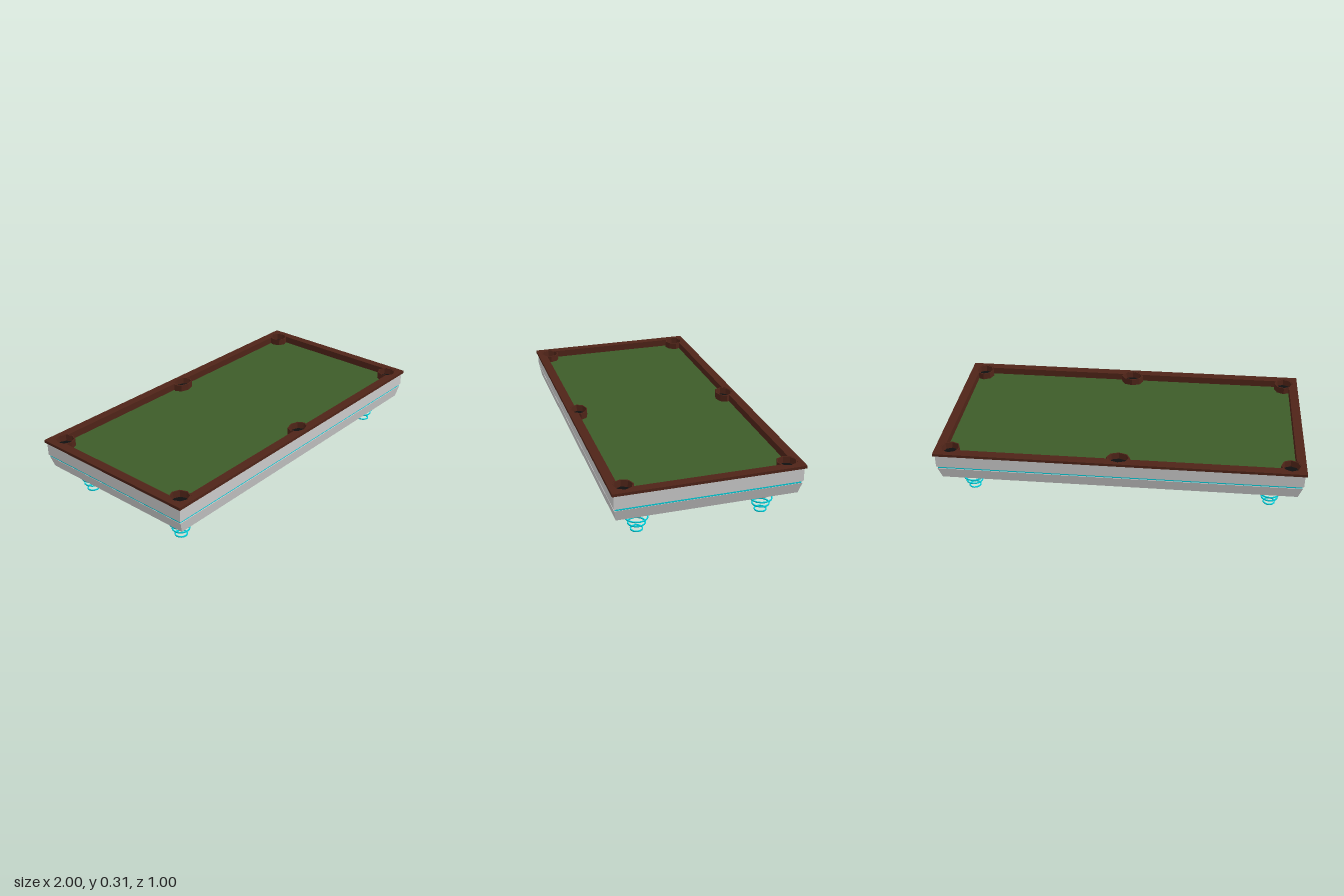
import * as THREE from 'three';

const mat = (color, extra = {}) => new THREE.MeshStandardMaterial({ color, flatShading: true, ...extra });

export function createModel() {
  const grey = mat(0xcccccc);
  const wood = mat(0x4f2418);
  const woodThin = mat(0x4f2418, { side: THREE.DoubleSide });
  const felt = mat(0x3d5c29);
  const black = mat(0x101010);
  const glow = mat(0x00d0dc);
  const table = new THREE.Group();
  table.name = 'hoverPoolTable';

  const add = (parent, name, geometry, material, x = 0, y = 0, z = 0) => {
    const mesh = new THREE.Mesh(geometry, material);
    mesh.name = name;
    mesh.position.set(x, y, z);
    parent.add(mesh);
    return mesh;
  };

  // Rectangular block with its own half sizes at the bottom and the top
  const block = (name, y0, y1, [bx, bz], [tx, tz], material) => {
    const g = new THREE.BoxGeometry(2, y1 - y0, 2);
    const p = g.attributes.position;
    for (let i = 0; i < p.count; i++) {
      const top = p.getY(i) > 0;
      p.setX(i, p.getX(i) * (top ? tx : bx));
      p.setZ(i, p.getZ(i) * (top ? tz : bz));
    }
    g.computeVertexNormals();
    return add(table, name, g, material, 0, (y0 + y1) / 2);
  };

  // Flat frame: rectangle with a hole, extruded upwards
  const rect = (x, z) => [[x, z], [-x, z], [-x, -z], [x, -z]];
  const toPoints = (list) => list.map(([x, z]) => new THREE.Vector2(x, z));
  const frame = (name, y0, y1, hx, hz, opening, material) => {
    const shape = new THREE.Shape(toPoints(rect(hx, hz)));
    shape.holes.push(new THREE.Path(toPoints(opening)));
    const g = new THREE.ExtrudeGeometry(shape, { depth: y1 - y0, bevelEnabled: false });
    g.rotateX(-Math.PI / 2);
    add(table, name, g, material, 0, y0);
  };

  // One quarter of the playing opening, notched round the pockets
  const quarter = [
    [0.95, 0.382], [0.959, 0.386], [0.975, 0.425], [0.959, 0.464], [0.92, 0.48],
    [0.881, 0.464], [0.875, 0.45], [0.057, 0.45], [0.046, 0.471], [0, 0.485],
  ];
  const flip = (sx, sz, list) => list.map(([x, z]) => [x * sx, z * sz]);
  const opening = [
    ...quarter,
    ...flip(-1, 1, quarter.slice(0, -1)).reverse(),
    ...flip(-1, -1, quarter),
    ...flip(1, -1, quarter.slice(0, -1)).reverse(),
  ];

  // Cabinet
  block('lowerCabinet', 0.15, 0.213, [0.965, 0.475], [0.985, 0.487], grey);
  block('glowBand', 0.213, 0.225, [0.983, 0.483], [0.983, 0.483], glow);
  block('upperCabinet', 0.225, 0.265, [0.99, 0.49], [0.99, 0.49], grey);
  frame('cabinetRim', 0.265, 0.30, 0.99, 0.49, rect(0.987, 0.487), grey);

  // Playing surface, cushion lining and top rail
  block('feltBed', 0.262, 0.275, [0.98, 0.484], [0.98, 0.484], felt);
  frame('cushionLining', 0.266, 0.30, 0.9865, 0.4865, opening, wood);
  frame('topRail', 0.30, 0.315, 1, 0.5, opening, wood);

  // Pockets: eight-sided cups with a dark floor
  const cup = [[0.99, 0.274], [0.99, 0.314], [0.88, 0.314], [0.8, 0.278]].map(([r, y]) => new THREE.Vector2(r, y));
  const addPocket = (x, z, rx, rz) => {
    const pocket = new THREE.Group();
    pocket.name = 'pocket';
    pocket.position.set(x, 0, z);
    pocket.scale.set(rx, 1, rz);
    add(pocket, 'pocketCup', new THREE.LatheGeometry(cup, 8), woodThin);
    add(pocket, 'pocketHole', new THREE.CylinderGeometry(0.82, 0.82, 0.004, 8), black, 0, 0.278);
    table.add(pocket);
  };
  for (const sz of [-1, 1]) {
    addPocket(0, sz * 0.436, 0.065, 0.049);
    for (const sx of [-1, 1]) addPocket(sx * 0.92, sz * 0.425, 0.055, 0.055);
  }

  // Hover feet: faceted emitter with shrinking rings below
  const ringGeometry = (r) => {
    const h = 0.003;
    const t = 0.006;
    const profile = [[r - t, -h], [r, -h], [r, h], [r - t, h], [r - t, -h]];
    return new THREE.LatheGeometry(toPoints(profile), 16);
  };
  for (const sx of [-1, 1]) for (const sz of [-1, 1]) {
    const foot = new THREE.Group();
    foot.name = 'hoverFoot';
    foot.position.set(sx * 0.83, 0, sz * 0.335);
    add(foot, 'emitterTop', new THREE.CylinderGeometry(0.08, 0.075, 0.027, 8), grey, 0, 0.1375);
    add(foot, 'emitterBand', new THREE.CylinderGeometry(0.069, 0.069, 0.008, 8), glow, 0, 0.12);
    add(foot, 'emitterBottom', new THREE.CylinderGeometry(0.069, 0.053, 0.021, 8), grey, 0, 0.1055);
    for (const [r, y] of [[0.061, 0.071], [0.048, 0.039], [0.034, 0.003]]) {
      add(foot, 'hoverRing', ringGeometry(r), glow, 0, y);
    }
    table.add(foot);
  }
  return table;
}
